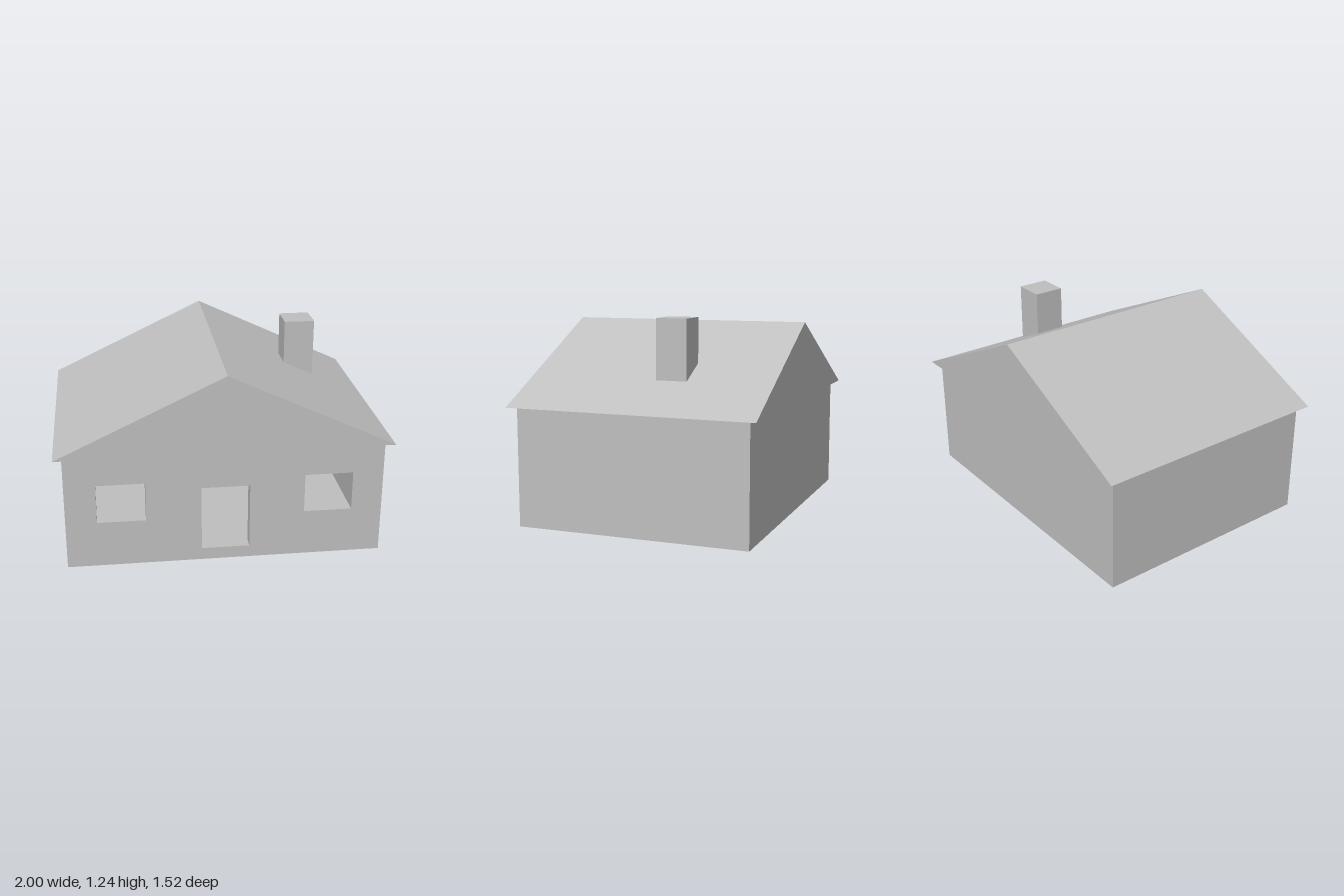
import * as THREE from 'three';

const W = 0.95, D = 0.715, H = 0.72, T = 0.075; // half width, half depth, wall height, wall thickness

// Rectangular outline, usable as a shape or a hole
function rect(Type, x0, y0, x1, y1) {
  const p = new Type();
  p.moveTo(x0, y0);
  p.lineTo(x1, y0);
  p.lineTo(x1, y1);
  p.lineTo(x0, y1);
  p.closePath();
  return p;
}

export function createModel() {
  const house = new THREE.Group();
  house.name = 'house';
  const grey = new THREE.MeshStandardMaterial({ color: 0xbfbfbf });
  grey.name = 'plainGrey';

  const add = (name, geometry, x = 0, y = 0, z = 0) => {
    const mesh = new THREE.Mesh(geometry, grey);
    mesh.name = name;
    mesh.position.set(x, y, z);
    house.add(mesh);
  };
  const box = (name, w, h, d, x, y, z) =>
    add(name, new THREE.BoxGeometry(w, h, d), x, y, z);

  // Front wall with a doorway and two open windows
  const front = rect(THREE.Shape, -W, 0, W, H);
  front.holes.push(
    rect(THREE.Path, -0.145, T, 0.145, 0.48),
    rect(THREE.Path, -0.765, 0.288, -0.475, 0.53),
    rect(THREE.Path, 0.475, 0.288, 0.765, 0.53)
  );
  add('frontWall', new THREE.ExtrudeGeometry(front, { depth: T, bevelEnabled: false }), 0, 0, D - T);

  // Remaining walls and floor around the hollow room
  box('backWall', 2 * W, H, T, 0, H / 2, -D + T / 2);
  for (const [name, side] of [['leftWall', 1], ['rightWall', -1]]) {
    box(name, T, H, 2 * (D - T), side * (W - T / 2), H / 2, 0);
  }
  box('floor', 2 * (W - T), T, 2 * (D - T), 0, T / 2, 0);

  // Solid gable roof overhanging the walls
  const gable = new THREE.Shape();
  gable.moveTo(-1, H);
  gable.lineTo(1, H);
  gable.lineTo(0, 1.193);
  gable.closePath();
  add('roof', new THREE.ExtrudeGeometry(gable, { depth: 1.525, bevelEnabled: false }), 0, 0, -0.7625);

  // Chimney sunk into the left roof slope
  box('chimney', 0.19, 0.44, 0.19, 0.57, 1.02, -0.145);

  return house;
}
